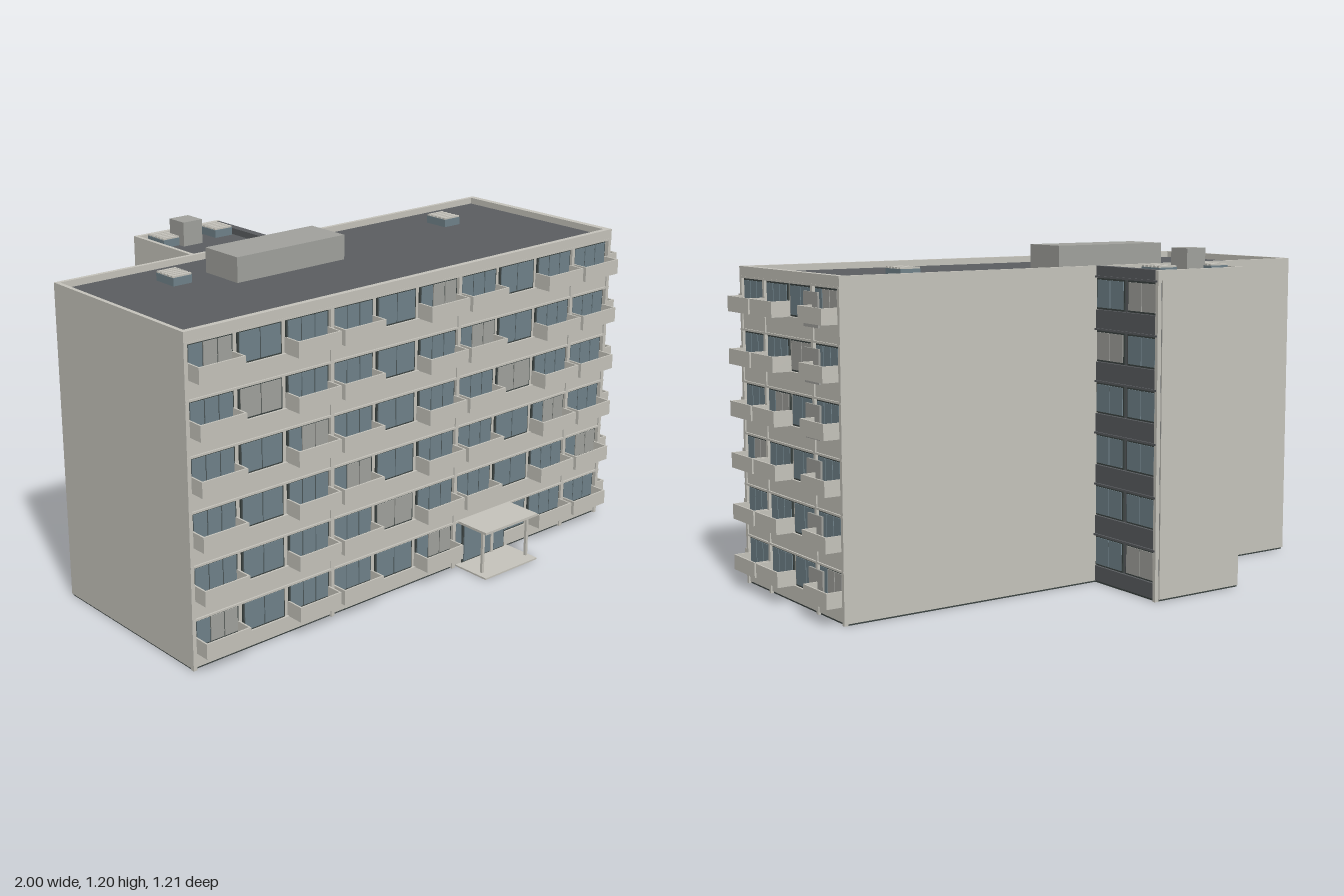
import * as THREE from 'three';

const mat = (name, color) => {
  const m = new THREE.MeshStandardMaterial({ color });
  m.name = name;
  return m;
};

export function createModel() {
  const wall = mat('pale concrete', 0xc6c4bc);
  const dark = mat('slate cladding', 0x5b5e61);
  const frame = mat('window frame', 0x3c4442);
  const glass = mat('blue grey glass', 0x70828a);
  const blind = mat('grey blind', 0xa1a29d);

  const model = new THREE.Group();
  model.name = 'apartmentBlock';

  // Box given by its lower and upper limits on each axis
  const box = (parent, name, m, x0, x1, y0, y1, z0, z1) => {
    const mesh = new THREE.Mesh(new THREE.BoxGeometry(x1 - x0, y1 - y0, z1 - z0), m);
    mesh.position.set((x0 + x1) / 2, (y0 + y1) / 2, (z0 + z1) / 2);
    mesh.name = name;
    parent.add(mesh);
    return mesh;
  };
  const group = (name, parent = model) => {
    const g = new THREE.Group();
    g.name = name;
    parent.add(g);
    return g;
  };

  const FLOORS = 6, PITCH = 0.184, TOP = 1.135, ROOF = 1.112;

  // Window: frame plate with thin panes on it, centred on x, outward is +z
  const addWindow = (parent, x, w, y0, y1, panes, shaded) => {
    const g = group('window', parent);
    box(g, 'windowFrame', frame, x - w / 2, x + w / 2, y0, y1, 0, 0.006);
    const gap = 0.004, edge = 0.006;
    const pw = (w - 2 * edge - gap * (panes - 1)) / panes;
    for (let i = 0; i < panes; i++) {
      const px = x - w / 2 + edge + i * (pw + gap);
      const m = shaded && (panes === 2 || i > 0) ? blind : glass;
      box(g, 'windowPane', m, px, px + pw, y0 + edge, y1 - edge, 0.004, 0.009);
    }
  };

  // Balcony: open tray with solid sides
  const addBalcony = (parent, x, w, y) => {
    const g = group('balcony', parent);
    const a = x - w / 2, b = x + w / 2, d = 0.07, t = 0.006, h = 0.054;
    box(g, 'balconyFloor', blind, a + t, b - t, y, y + 0.008, 0, d - t);
    box(g, 'balconyFront', wall, a, b, y, y + h, d - t, d);
    box(g, 'balconySide', wall, a, a + t, y, y + h, 0, d - t);
    box(g, 'balconySide', wall, b - t, b, y, y + h, 0, d - t);
  };

  // Facade: spandrel bands, slab lips, columns, windows and balconies
  const addFacade = (name, o) => {
    const g = group(name);
    for (let k = 0; k < FLOORS; k++) {
      const y = k * PITCH;
      box(g, 'spandrelBand', o.skin, o.from, o.to, k ? y - 0.004 : 0.008, y + 0.062, 0, 0.01);
      box(g, 'slabLip', o.skin, o.from, o.to, y + 0.174, y + 0.181, 0, 0.016);
      o.centres.forEach((x, i) => {
        const tall = o.tall(i);
        addWindow(g, x, o.width, y + (tall ? 0.064 : 0.075), y + 0.173, tall ? 2 : 3, o.shaded(i, FLOORS - 1 - k));
        if (!tall && !(o.skip && o.skip(i, k))) addBalcony(g, x, o.width + 0.004, y + 0.06);
      });
    }
    o.columns.forEach(x => box(g, 'column', wall, x - 0.007, x + 0.007, 0, ROOF, 0, 0.015));
    return g;
  };
  const row = (n, start, step) => Array.from({ length: n }, (_, i) => start + i * step);

  // Main block and stair wing
  box(model, 'mainBlock', wall, -1, 0.93, 0.006, ROOF - 0.006, -0.26, 0.445);
  box(model, 'mainPlinth', frame, -0.997, 0.935, 0, 0.006, -0.257, 0.45);
  box(model, 'mainRoof', dark, -0.985, 0.925, ROOF - 0.006, ROOF, -0.245, 0.445);
  box(model, 'wingBlock', wall, -0.45, -0.09, 0.006, ROOF - 0.006, -0.605, -0.26);
  box(model, 'wingCladding', dark, -0.09, -0.085, 0.006, TOP, -0.6, -0.26);
  box(model, 'wingPlinth', frame, -0.447, -0.08, 0, 0.006, -0.602, -0.257);
  box(model, 'wingRoof', dark, -0.435, -0.09, ROOF - 0.006, ROOF, -0.59, -0.26);

  // Parapets
  const p0 = ROOF - 0.012;
  box(model, 'frontParapet', wall, -1, 0.945, p0, TOP, 0.44, 0.46);
  box(model, 'backParapet', wall, -1, 0.945, p0, TOP, -0.26, -0.245);
  box(model, 'leftEndParapet', wall, -1, -0.985, p0, TOP, -0.245, 0.44);
  box(model, 'rightEndParapet', wall, 0.92, 0.945, p0, TOP, -0.245, 0.44);
  box(model, 'wingBackParapet', wall, -0.45, -0.07, p0, TOP, -0.605, -0.59);
  box(model, 'wingSideParapet', wall, -0.45, -0.435, p0, TOP, -0.59, -0.26);
  box(model, 'wingDarkParapet', dark, -0.105, -0.075, p0, TOP, -0.59, -0.26);

  // Front facade
  addFacade('frontFacade', {
    skin: wall, from: -1, to: 0.945, width: 0.174,
    centres: row(10, -0.897, 0.1925), columns: [-0.993, -0.415, 0.162, 0.738, 0.937],
    tall: i => i % 3 === 1, shaded: (i, d) => (i + 10 - d) % 5 === 0,
    skip: (i, k) => i === 6 && k === 0,
  }).position.z = 0.445;

  // Right end facade, turned so its outward side is +x
  const end = addFacade('endFacade', {
    skin: wall, from: -0.445, to: 0.26, width: 0.158,
    centres: row(4, -0.363, 0.1745), columns: [-0.452, -0.276, 0.073, 0.253],
    tall: i => i === 2, shaded: (i, d) => (i + d) % 5 === 3,
  });
  end.rotation.y = Math.PI / 2;
  end.position.x = 0.93;
  for (let k = 0; k < FLOORS; k++) {
    box(end, 'screenPanel', blind, 0.024, 0.122, k * PITCH + 0.04, k * PITCH + 0.156, 0.012, 0.019);
  }

  // Stair wing facade
  const wing = addFacade('wingFacade', {
    skin: dark, from: 0.26, to: 0.6, width: 0.157,
    centres: [0.337, 0.511], columns: [0.598],
    tall: () => true, shaded: (i, d) => (i + d) % 5 === 1,
  });
  wing.rotation.y = Math.PI / 2;
  wing.position.x = -0.085;

  // Entrance with door, canopy and posts
  const entrance = group('entrance');
  box(entrance, 'doorFrame', frame, 0.205, 0.425, 0.008, 0.172, 0.445, 0.458);
  box(entrance, 'doorPane', glass, 0.213, 0.347, 0.014, 0.166, 0.456, 0.463);
  box(entrance, 'doorPost', wall, 0.35, 0.362, 0.008, 0.172, 0.456, 0.465);
  box(entrance, 'doorPane', glass, 0.365, 0.418, 0.014, 0.166, 0.456, 0.463);
  box(entrance, 'canopy', wall, 0.18, 0.447, 0.172, 0.181, 0.45, 0.6);
  box(entrance, 'doorstep', wall, 0.18, 0.447, 0, 0.006, 0.45, 0.605);
  for (const x of [0.207, 0.434]) {
    box(entrance, 'canopyPost', wall, x - 0.005, x + 0.005, 0.006, 0.172, 0.555, 0.565);
  }

  // Roof housings
  box(model, 'liftHousing', blind, -0.5, -0.03, ROOF, 1.2, -0.1, 0.075);
  box(model, 'wingHousing', blind, -0.35, -0.268, ROOF, 1.2, -0.52, -0.435);

  // Slatted roof vents
  for (const [x, z] of [[-0.648, -0.078], [0.602, -0.078], [-0.38, -0.512], [-0.15, -0.512]]) {
    const vent = group('roofVent');
    vent.position.set(x, ROOF, z);
    box(vent, 'ventBase', glass, -0.038, 0.038, 0, 0.028, -0.049, 0.049);
    for (let i = 0; i < 5; i++) {
      const s = -0.04 + i * 0.02;
      box(vent, 'ventSlat', wall, -0.038, 0.038, 0.028, 0.034, s - 0.006, s + 0.006);
    }
  }

  return model;
}
